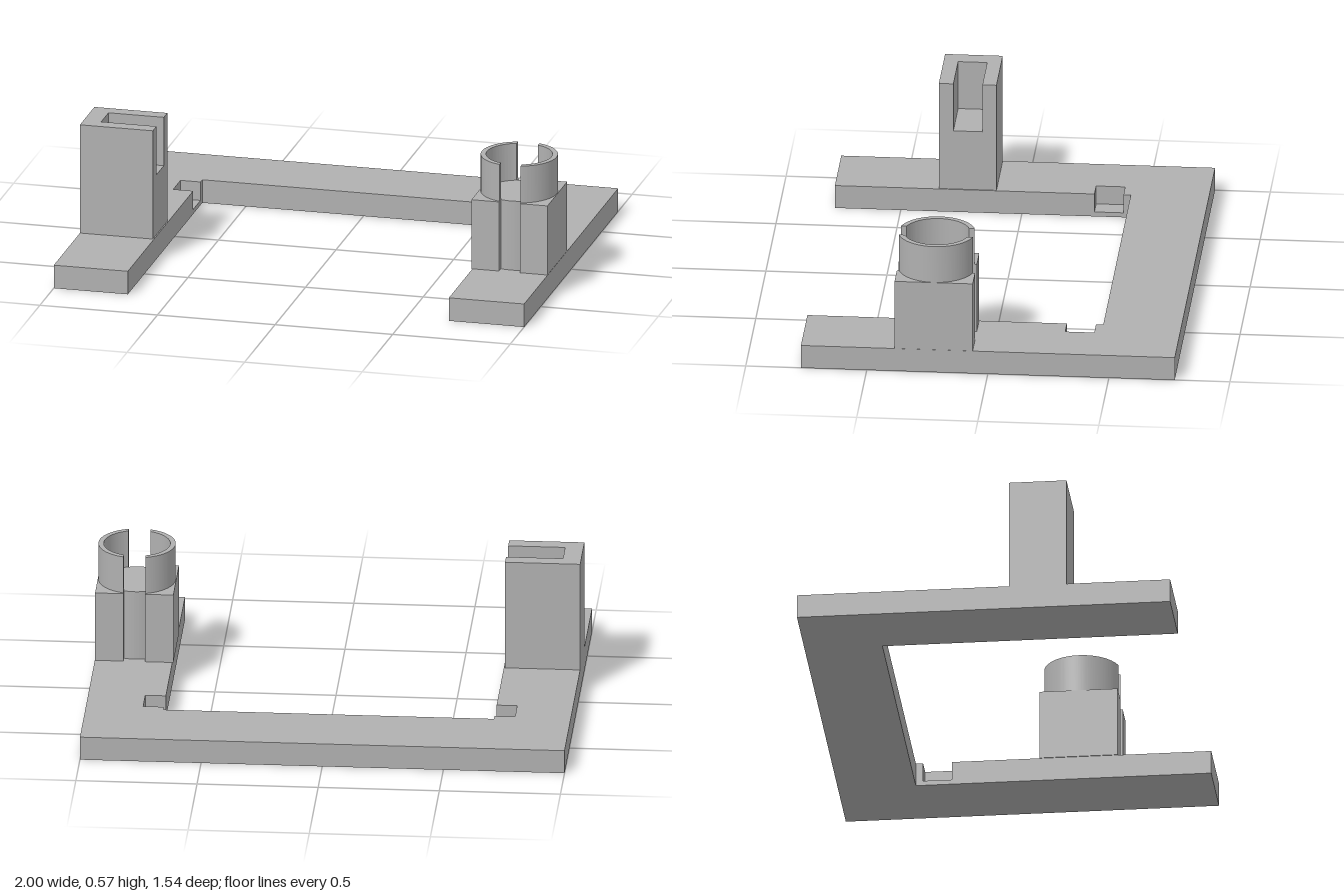
import * as THREE from 'three';
import { toCreasedNormals } from 'three/addons/utils/BufferGeometryUtils.js';

export function createModel() {
  const model = new THREE.Group();
  model.name = 'bracket';
  const grey = new THREE.MeshStandardMaterial({ color: 0xb0b0b0 });
  grey.name = 'plain grey';

  // Plan outlines are drawn as (x, -z) and raised from y0 to y1
  const raise = (name, shape, y0, y1) => {
    let geo = new THREE.ExtrudeGeometry(shape, { depth: y1 - y0, bevelEnabled: false, curveSegments: 40 });
    geo.rotateX(-Math.PI / 2).translate(0, y0, 0);
    geo = toCreasedNormals(geo, 0.5);
    const mesh = new THREE.Mesh(geo, grey);
    mesh.name = name;
    model.add(mesh);
  };
  const outline = (points) => new THREE.Shape(points.map(([x, z]) => new THREE.Vector2(x, -z)));

  // U-shaped base: solid floor layer, then a layer with two pockets in the inner edges
  const L = -0.685, R = 0.68, B = -0.45, F = 0.772;
  const outer = [[-1, F], [-1, -F], [1, -F], [1, F], [R, F]];
  raise('baseFloor', outline([...outer, [R, B], [L, B], [L, F]]), 0, 0.02);
  raise('base', outline([
    ...outer,
    [R, -0.3], [0.765, -0.3], [0.765, -0.42], [R, -0.42], [R, B],
    [L, B], [L, -0.42], [-0.77, -0.42], [-0.77, -0.3], [L, -0.3], [L, F],
  ]), 0.02, 0.1);

  // Slotted post: solid lower block with a C-shaped upper part open to the inside
  const px = -0.69, z0 = 0.105, z1 = 0.343, s0 = 0.163, s1 = 0.283, sx = -0.925;
  raise('slotPostLower', outline([[-1, z1], [-1, z0], [px, z0], [px, z1]]), 0.1, 0.36);
  raise('slotPostUpper', outline([
    [-1, z1], [-1, z0], [px, z0], [px, s0], [sx, s0], [sx, s1], [px, s1], [px, z1],
  ]), 0.36, 0.57);

  // Square pedestal with a vertical groove in its front and back, bottomed on the ring's bore
  const cx = 0.8375, cz = 0.224, half = 0.1615, gap = 0.045, rIn = 0.137, rOut = 0.159;
  const aIn = Math.acos(gap / rIn), aOut = Math.acos(gap / rOut);
  const block = new THREE.Shape();
  block.moveTo(cx + half, -cz - half);
  block.lineTo(cx + half, -cz + half);
  block.lineTo(cx + gap, -cz + half);
  block.absarc(cx, -cz, rIn, aIn, Math.PI - aIn, false);
  block.lineTo(cx - gap, -cz + half);
  block.lineTo(cx - half, -cz + half);
  block.lineTo(cx - half, -cz - half);
  block.lineTo(cx - gap, -cz - half);
  block.absarc(cx, -cz, rIn, Math.PI + aIn, 2 * Math.PI - aIn, false);
  block.lineTo(cx + gap, -cz - half);
  block.closePath();
  raise('ringPedestal', block, 0.1, 0.4);

  // Split ring: two curved jaws with straight-sided gaps
  for (const [name, turn] of [['ringJawOuter', 0], ['ringJawInner', Math.PI]]) {
    const jaw = new THREE.Shape();
    jaw.absarc(cx, -cz, rOut, turn - aOut, turn + aOut, false);
    jaw.absarc(cx, -cz, rIn, turn + aIn, turn - aIn, true);
    jaw.closePath();
    raise(name, jaw, 0.4, 0.56);
  }

  return model;
}
